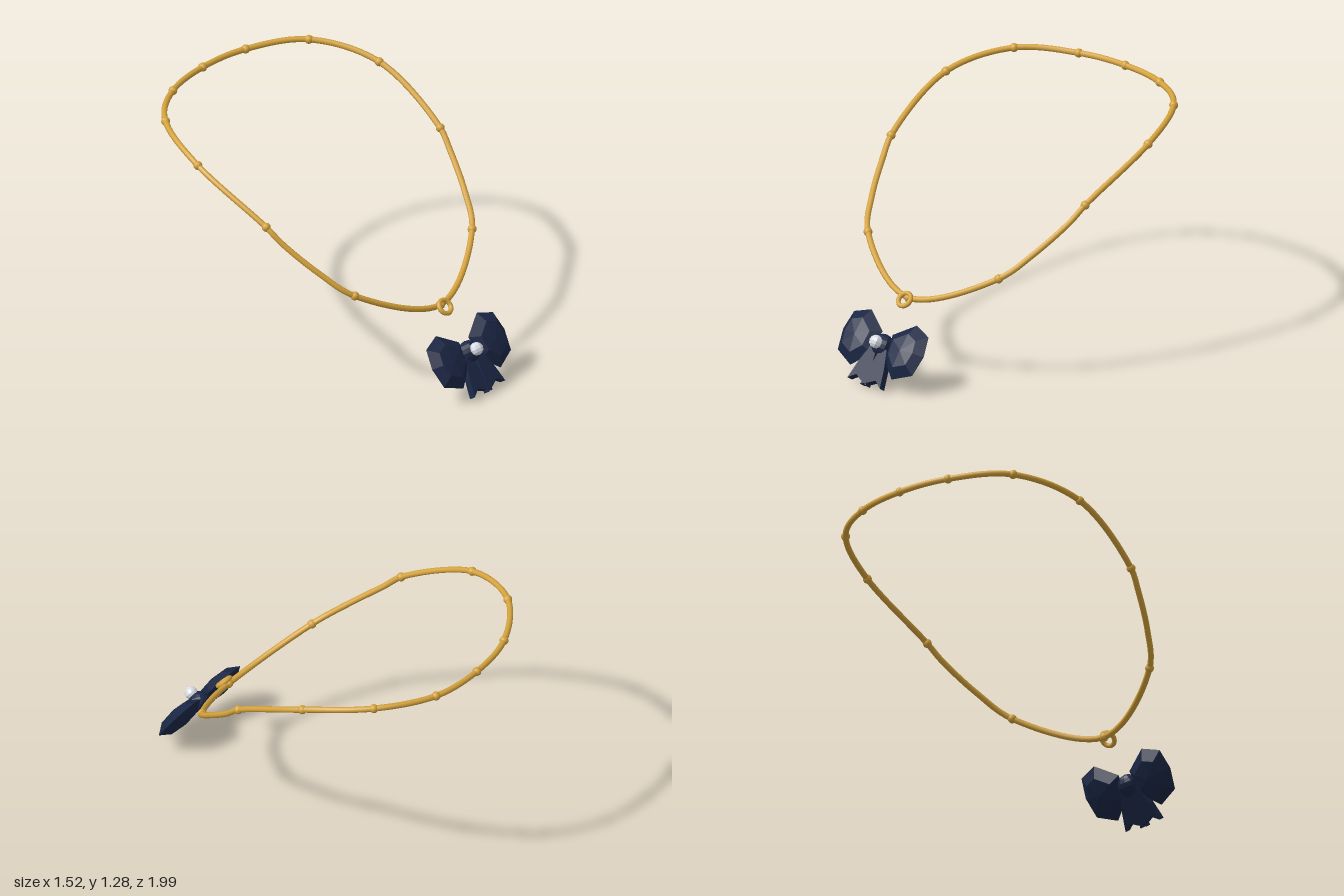
import * as THREE from 'three';

const gold = new THREE.MeshStandardMaterial({ color: 0xd4a23c });
const navy = new THREE.MeshStandardMaterial({ color: 0x1a2644, flatShading: true });
const pearl = new THREE.MeshStandardMaterial({ color: 0xd8dce6, flatShading: true });

function add(parent, name, geometry, material, x = 0, y = 0, z = 0) {
  const mesh = new THREE.Mesh(geometry, material);
  mesh.name = name;
  mesh.position.set(x, y, z);
  parent.add(mesh);
  return mesh;
}

// Lens-shaped bow loop: outline rings shrinking toward a front and a back apex
function loopGeometry(side) {
  const outline = [[0.292, 0.012], [0.27, 0.118], [0.165, 0.157], [0.037, 0.068],
    [0.05, -0.064], [0.15, -0.154], [0.27, -0.1]];
  const n = outline.length, cx = 0.165;
  const rings = [[0.02, 0.05], [0.62, 0.04], [1, 0], [0.62, -0.04], [0.02, -0.05]];
  const positions = [], index = [];
  for (const [s, z] of rings) {
    for (const [x, y] of outline) positions.push(side * (cx + (x - cx) * s), y * s, z);
  }
  const tri = (a, b, c) => (side > 0 ? index.push(a, b, c) : index.push(a, c, b));
  for (let r = 0; r < rings.length - 1; r++) {
    for (let i = 0; i < n; i++) {
      const j = (i + 1) % n, a = r * n, b = a + n;
      tri(a + i, b + i, b + j);
      tri(a + i, b + j, a + j);
    }
  }
  // Close the tiny end rings
  const last = (rings.length - 1) * n;
  for (let i = 1; i < n - 1; i++) {
    tri(0, i, i + 1);
    tri(last, last + i + 1, last + i);
  }
  const g = new THREE.BufferGeometry();
  g.setAttribute('position', new THREE.Float32BufferAttribute(positions, 3));
  g.setIndex(index);
  g.computeVertexNormals();
  return g;
}

// Ribbon tail with a notched end
function tailGeometry(side) {
  const points = [[0.015, -0.02], [-0.018, -0.232], [0.03, -0.212], [0.072, -0.19],
    [0.12, -0.222], [0.095, -0.12], [0.06, -0.02]];
  const shape = new THREE.Shape(points.map(([x, y]) => new THREE.Vector2(side * x, y)));
  return new THREE.ExtrudeGeometry(shape, { depth: 0.04, bevelEnabled: false }).translate(0, 0, -0.02);
}

export function createModel() {
  const group = new THREE.Group();
  group.name = 'necklace';

  // Right-hand half of the band from back to front; the third flag marks a bead
  const half = [
    [0, 1.27, -0.97, 1], [0.295, 1.27, -0.925, 1], [0.58, 1.275, -0.735, 1],
    [0.735, 1.2, -0.385, 1], [0.705, 0.975, 0.055, 1], [0.677, 0.895, 0.14, 0],
    [0.588, 0.742, 0.32, 0], [0.475, 0.615, 0.465, 1], [0, 0.43, 0.65, 1],
  ];
  const mirrored = half.slice(1, -1).reverse().map(([x, y, z, b]) => [-x, y, z, b]);
  const all = [...half, ...mirrored];
  const curve = new THREE.CatmullRomCurve3(all.map(([x, y, z]) => new THREE.Vector3(x, y, z)), true);
  add(group, 'band', new THREE.TubeGeometry(curve, 120, 0.016, 10, true), gold);

  // Beads along the band
  const beadGeometry = new THREE.SphereGeometry(0.024, 10, 8);
  for (const [x, y, z, bead] of all) {
    if (bead) add(group, 'bead', beadGeometry, gold, x, y, z);
  }

  // Hanging ring
  const ring = add(group, 'ring', new THREE.TorusGeometry(0.038, 0.013, 8, 20), gold, 0, 0.428, 0.68);
  ring.rotation.x = -0.76;

  // Tilted bow pendant
  const bow = new THREE.Group();
  bow.name = 'bow';
  bow.position.set(0, 0.22, 0.845);
  bow.rotation.x = -0.6;
  group.add(bow);
  for (const side of [1, -1]) {
    const label = side > 0 ? 'left' : 'right';
    add(bow, label + 'Loop', loopGeometry(side), navy);
    add(bow, label + 'Tail', tailGeometry(side), navy, 0, 0, side * 0.003);
  }
  const knot = add(bow, 'knot', new THREE.SphereGeometry(0.06, 10, 8), navy);
  knot.scale.z = 0.9;
  add(bow, 'pearl', new THREE.SphereGeometry(0.036, 8, 6), pearl, 0, 0, 0.06);

  return group;
}
